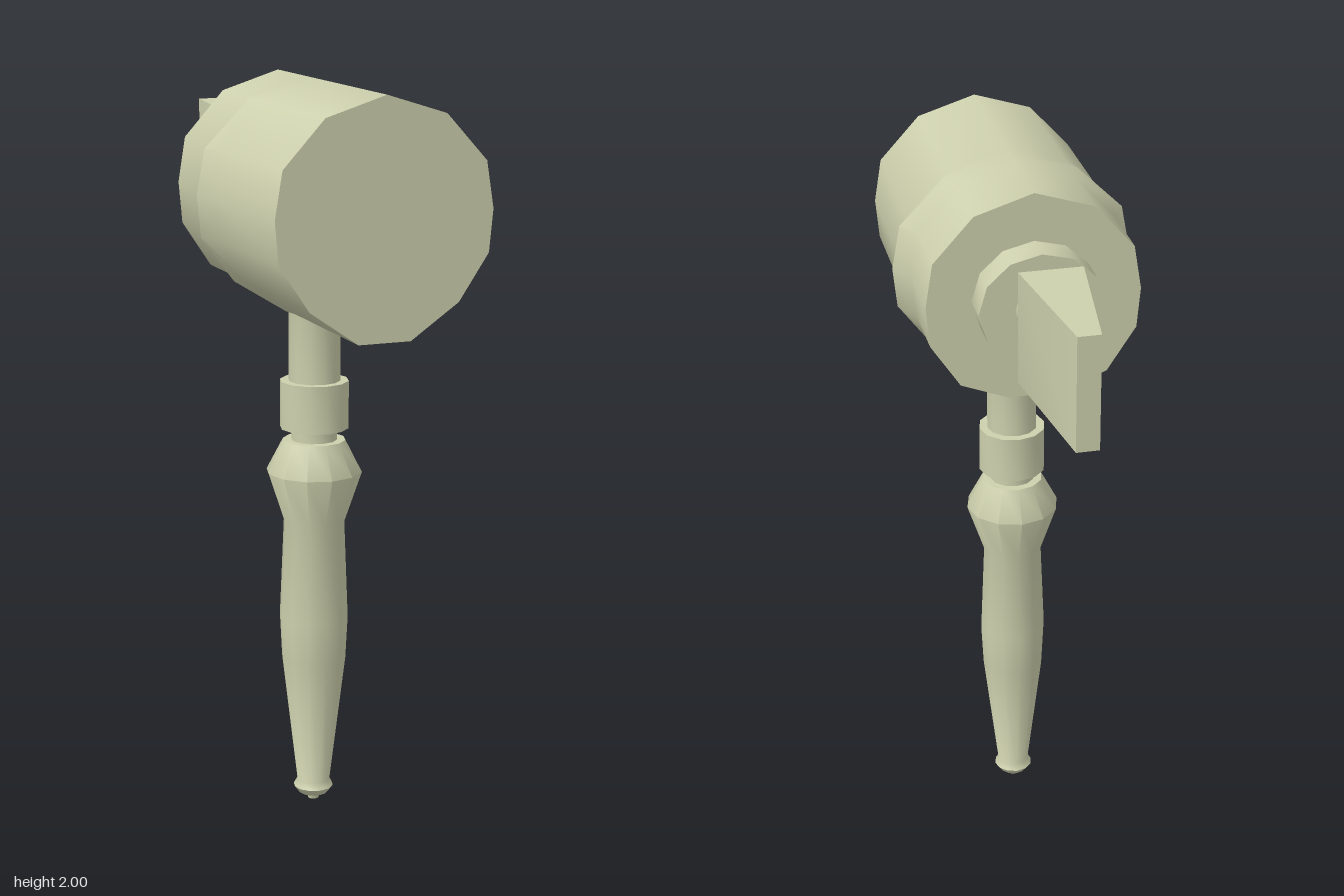
import * as THREE from 'three';
import { toCreasedNormals } from 'three/addons/utils/BufferGeometryUtils.js';

const material = new THREE.MeshStandardMaterial({ color: 0xcdd0ad });

// Sections: { z, points } from front to back, points counter-clockwise seen from the front.
function loft(sections) {
  const n = sections[0].points.length;
  const position = [];
  const index = [];
  for (const { z, points } of sections) {
    for (const [x, y] of points) position.push(x, y, z);
  }
  for (let s = 0; s < sections.length - 1; s++) {
    for (let i = 0; i < n; i++) {
      const a = s * n + i;
      const b = s * n + (i + 1) % n;
      index.push(a, a + n, b, b, a + n, b + n);
    }
  }
  const last = (sections.length - 1) * n;
  for (let i = 1; i < n - 1; i++) {
    index.push(0, i, i + 1, last, last + i + 1, last + i);
  }
  const geometry = new THREE.BufferGeometry();
  geometry.setAttribute('position', new THREE.Float32BufferAttribute(position, 3));
  geometry.setIndex(index);
  return geometry;
}

function part(name, geometry, crease = 0.9) {
  const mesh = new THREE.Mesh(toCreasedNormals(geometry, crease), material);
  mesh.name = name;
  return mesh;
}

// Half outline of the faceted head, bottom to top
const HALF = [[0.07, 1.39], [0.2, 1.48], [0.28, 1.6], [0.29, 1.71], [0.27, 1.83], [0.16, 1.95]];

function headSection(z, widen, bottom) {
  const half = HALF.map(([x, y]) => [x * widen, Math.max(y, bottom)]);
  const mirrored = half.map(([x, y]) => [-x, y]).reverse();
  return { z, points: [...half, [0, 2], ...mirrored] };
}

function rectSection(z, w, y0, y1) {
  return { z, points: [[-w, y0], [w, y0], [w, y1], [-w, y1]] };
}

// Short cylinder lying along z
function drum(name, rx, ry, y, zFront, zBack, sides) {
  const geometry = new THREE.CylinderGeometry(1, 1, zFront - zBack, sides);
  geometry.rotateX(Math.PI / 2);
  geometry.scale(rx, ry, 1);
  geometry.translate(0, y, (zFront + zBack) / 2);
  return part(name, geometry);
}

export function createModel() {
  const group = new THREE.Group();
  group.name = 'hammer';

  // Barrel-like head with a raised side ridge
  group.add(part('head', loft([
    headSection(0.655, 1, 1.39),
    headSection(0.23, 1.01, 1.39),
    headSection(0.18, 1.12, 1.39),
    headSection(0.12, 0.985, 1.43),
    headSection(-0.085, 0.985, 1.43),
  ])));

  // Stepped rear and wedge
  group.add(drum('rearDisc', 0.165, 0.152, 1.718, -0.08, -0.173, 12));
  group.add(drum('wedgeNeck', 0.07, 0.068, 1.718, -0.17, -0.27, 12));
  group.add(part('wedge', loft([
    rectSection(-0.25, 0.075, 1.65, 1.785),
    rectSection(-0.267, 0.084, 1.565, 1.87),
    rectSection(-0.655, 0.03, 1.562, 1.87),
  ])));

  // Turned handle with collar, swell and small end knob
  const profile = [
    [0, 0], [0.015, 0.003], [0.018, 0.015], [0.04, 0.022], [0.055, 0.042],
    [0.045, 0.06], [0.088, 0.42], [0.094, 0.54], [0.083, 0.81], [0.13, 0.95],
    [0.085, 1.037], [0.062, 1.037], [0.062, 1.07], [0.093, 1.07], [0.093, 1.2],
    [0.07, 1.2], [0.07, 1.4], [0.085, 1.46], [0, 1.46],
  ].map(([r, y]) => new THREE.Vector2(r, y));
  const handle = part('handle', new THREE.LatheGeometry(profile, 12));
  handle.position.z = 0.187;
  group.add(handle);

  return group;
}
